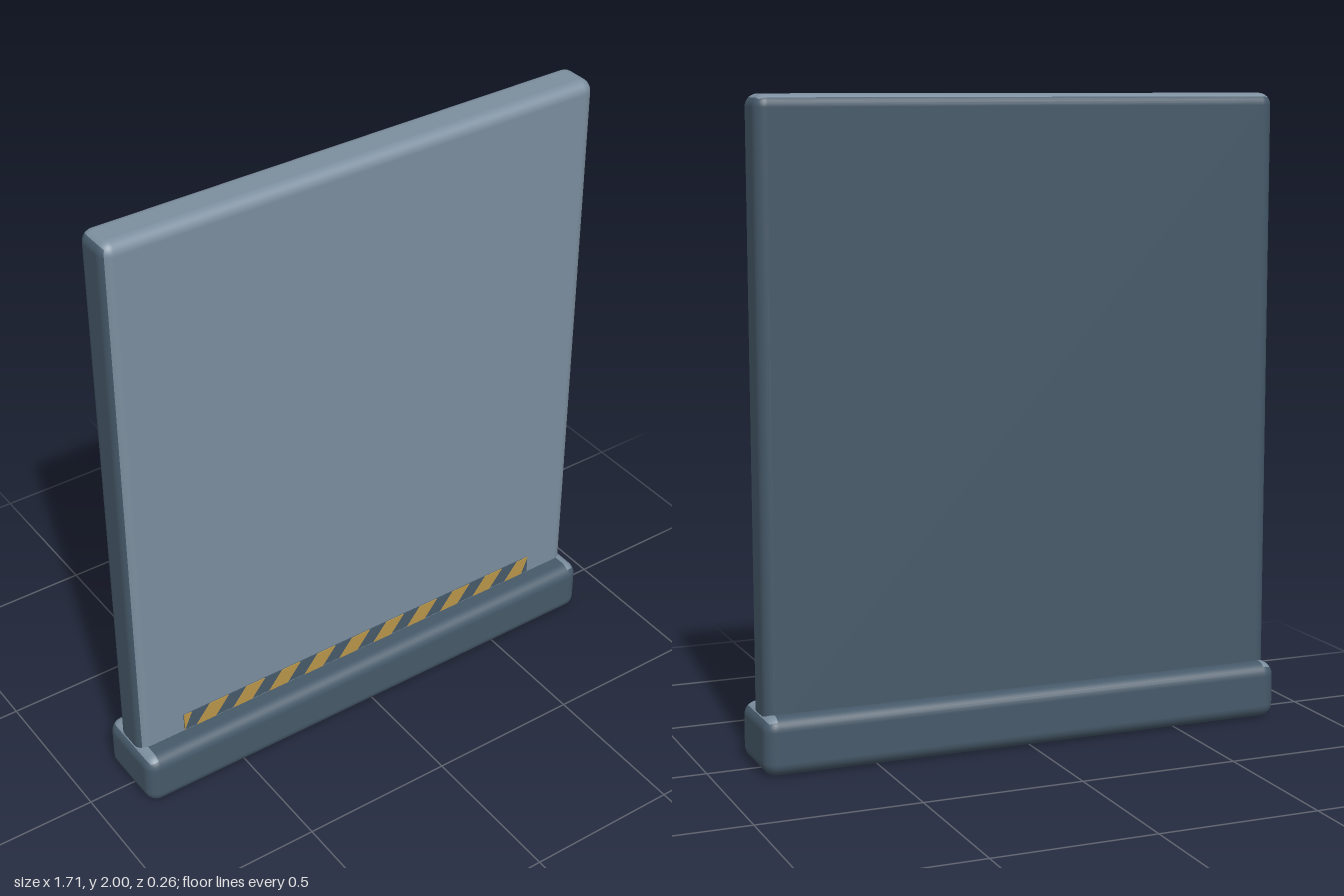
import * as THREE from 'three';
import { RoundedBoxGeometry } from 'three/addons/geometries/RoundedBoxGeometry.js';

export function createModel() {
  const material = (name, color) => {
    const m = new THREE.MeshStandardMaterial({ color });
    m.name = name;
    return m;
  };
  const light = material('light steel', 0x7c8e9e);
  const dark = material('dark steel', 0x465969);
  const yellow = material('warning yellow', 0xb8964a);

  const model = new THREE.Group();
  model.name = 'barrierPanel';
  const add = (name, geometry, mat, x, y, z) => {
    const mesh = new THREE.Mesh(geometry, mat);
    mesh.name = name;
    mesh.position.set(x, y, z);
    model.add(mesh);
    return mesh;
  };

  // Upright slab: light front and top, dark sides and back
  // (group order: +x, -x, +y, -y, +z, -z)
  const slab = new RoundedBoxGeometry(1.68, 1.9, 0.138, 4, 0.038);
  add('panel', slab, [dark, dark, light, dark, light, dark], 0, 1.05, -0.013);

  // Base rail: dark, with light bevels along the top of both ends
  const W = 1.71, H = 0.18, D = 0.264, R = 0.042;
  const rail = new RoundedBoxGeometry(W, H, D, 4, R);
  const top = rail.groups[2];
  const pos = rail.attributes.position;
  rail.clearGroups();
  for (let i = 0; i < pos.count; i += 3) {
    const cx = (pos.getX(i) + pos.getX(i + 1) + pos.getX(i + 2)) / 3;
    const onTop = i >= top.start && i < top.start + top.count;
    const index = onTop && Math.abs(cx) > W / 2 - R ? 1 : 0;
    const last = rail.groups[rail.groups.length - 1];
    if (last && last.materialIndex === index) last.count += 3;
    else rail.addGroup(i, 3, index);
  }
  add('baseRail', rail, [dark, light], 0, H / 2, 0);

  // Warning strip: dark backing with slanted yellow bars
  const half = 0.682, y0 = 0.185, y1 = 0.247, front = 0.056;
  add('stripBacking', new THREE.BoxGeometry(half * 2, y1 - y0, 0.004), dark, 0, (y0 + y1) / 2, front + 0.001);

  const clampX = (x) => THREE.MathUtils.clamp(x, -half, half);
  const pitch = 0.136, barHalf = 0.035, slant = 0.025;
  for (let k = -5; k <= 5; k++) {
    const c = -0.034 + k * pitch;
    const shape = new THREE.Shape([
      new THREE.Vector2(clampX(c - barHalf - slant), y0),
      new THREE.Vector2(clampX(c + barHalf - slant), y0),
      new THREE.Vector2(clampX(c + barHalf + slant), y1),
      new THREE.Vector2(clampX(c - barHalf + slant), y1),
    ]);
    const bar = new THREE.ExtrudeGeometry(shape, { depth: 0.003, bevelEnabled: false });
    add('warningBar', bar, yellow, 0, 0, front + 0.002);
  }
  return model;
}
